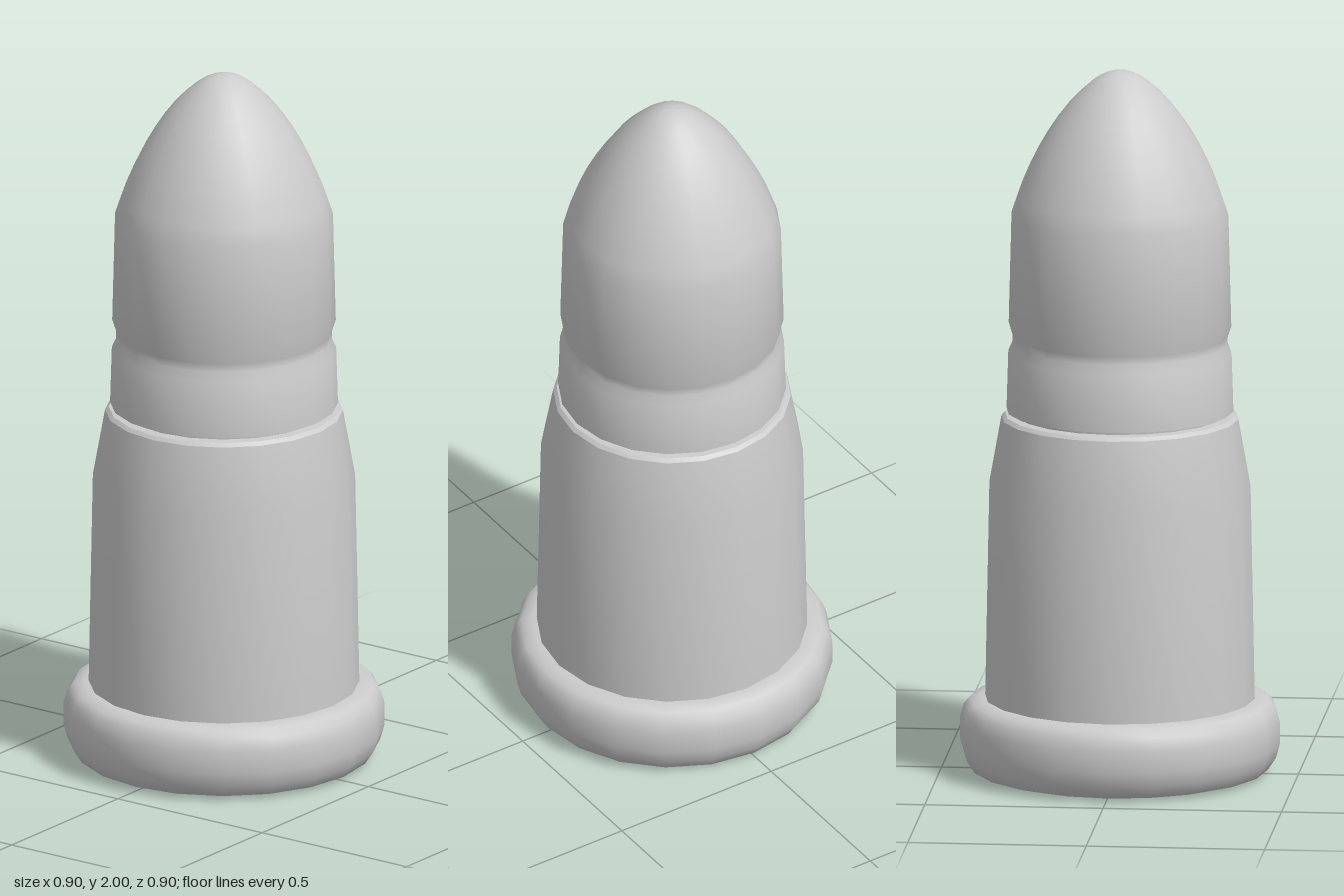
import * as THREE from 'three';
import { toCreasedNormals } from 'three/addons/utils/BufferGeometryUtils.js';

const SIDES = 20;

// Turned part from [radius, height] pairs, listed bottom to top
function turned(name, profile, crease) {
  const points = profile.map(([r, y]) => new THREE.Vector2(r, y));
  const geometry = toCreasedNormals(new THREE.LatheGeometry(points, SIDES), crease);
  const mesh = new THREE.Mesh(geometry, new THREE.MeshStandardMaterial({ color: 0xcccccc }));
  mesh.name = name;
  return mesh;
}

export function createModel() {
  const group = new THREE.Group();
  group.name = 'cartridge';

  // Rounded rim with a flat base
  group.add(turned('rim', [
    [0, 0], [0.37, 0], [0.415, 0.012], [0.437, 0.045], [0.448, 0.085],
    [0.448, 0.15], [0.437, 0.185], [0.42, 0.205], [0.39, 0.213], [0.36, 0.213],
  ], 0.9));

  // Tapered case with a shoulder and a turned-in mouth
  group.add(turned('case', [
    [0.378, 0.2], [0.366, 0.82], [0.332, 1.01], [0.322, 1.02], [0.295, 1.022],
  ], 0.6));

  // Bullet with a shallow groove and a rounded nose
  const bullet = [
    [0.295, 1.015], [0.297, 1.03], [0.318, 1.032], [0.313, 1.195], [0.301, 1.222],
    [0.302, 1.245], [0.312, 1.275], [0.304, 1.59],
  ];
  const nose = new THREE.CatmullRomCurve3([
    [0.304, 1.59], [0.265, 1.7], [0.21, 1.81], [0.142, 1.907], [0.07, 1.975], [0.03, 1.995], [0, 2],
  ].map(([r, y]) => new THREE.Vector3(r, y, 0)));
  for (const p of nose.getPoints(14).slice(1)) bullet.push([Math.max(p.x, 0), p.y]);
  group.add(turned('bullet', bullet, 0.8));

  return group;
}
